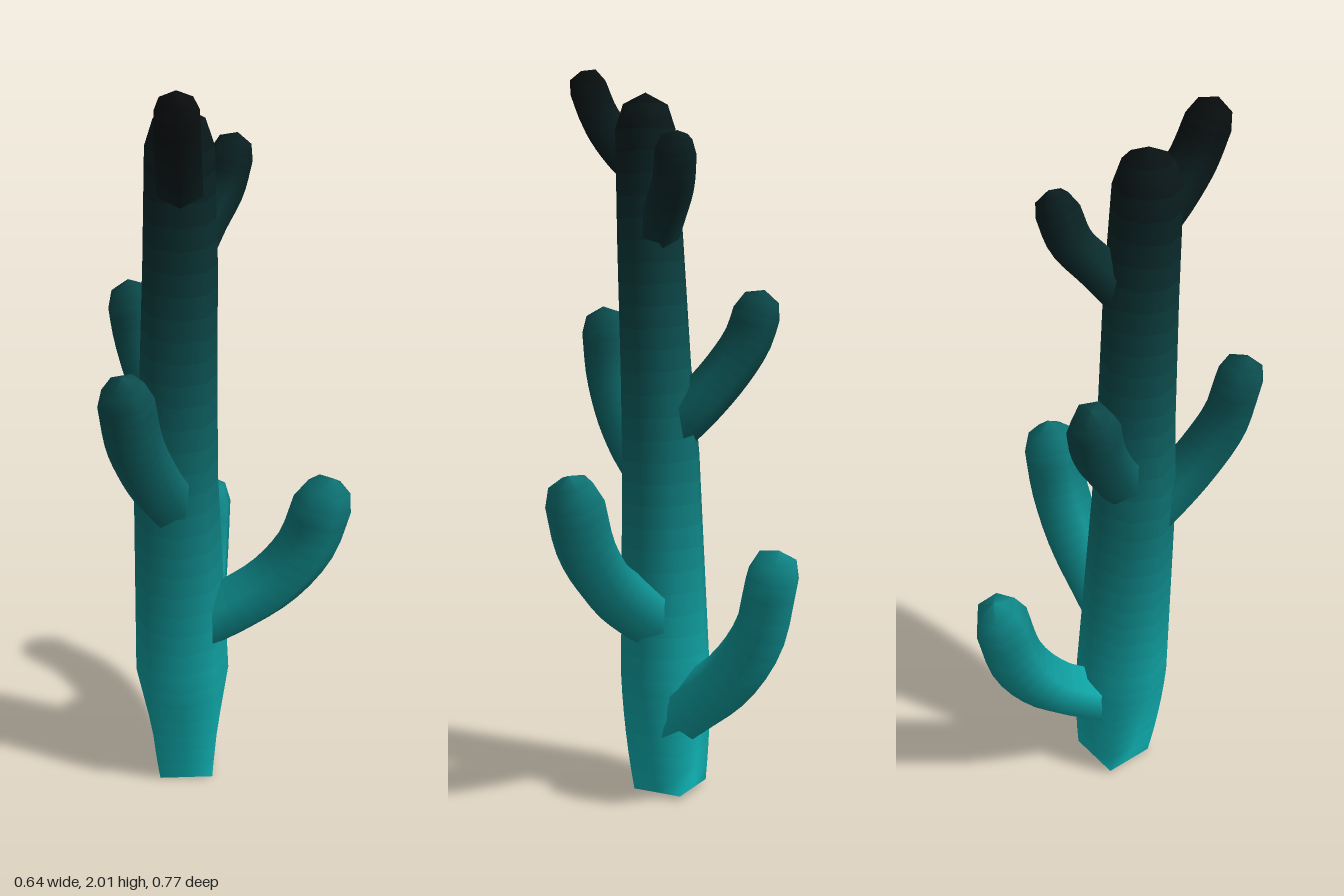
import * as THREE from 'three';

const UP = new THREE.Vector3(0, 1, 0);

// Teal at the ground fading to near black at the top
function colourAt(y) {
  const k = 1 - Math.pow(Math.min(Math.max(y / 2, 0), 1), 1.15);
  return new THREE.Color().setRGB(0.035 + 0.03 * k, 0.04 + 0.7 * k, 0.045 + 0.7 * k, THREE.SRGBColorSpace);
}

// Smooth stem through rings {p, r, square}; each row becomes one colour band
function stem(name, rings, sides, outward) {
  const group = new THREE.Group();
  group.name = name;
  const side = UP.clone().cross(outward).normalize();
  const pos = [];
  rings.forEach(({ p, r, square = 0 }, i) => {
    const t = rings[Math.min(i + 1, rings.length - 1)].p.clone().sub(rings[Math.max(i - 1, 0)].p).normalize();
    const n = side.clone().cross(t).normalize();
    const s = t.clone().cross(n);
    for (let j = 0; j < sides; j++) {
      const a = (j / sides) * Math.PI * 2;
      const rad = r * (1 + (j % 2) * square * (Math.SQRT2 - 1));
      const v = p.clone().addScaledVector(n, Math.cos(a) * rad).addScaledVector(s, Math.sin(a) * rad);
      pos.push(v.x, v.y, v.z);
    }
  });

  const rows = [];
  for (let i = 0; i < rings.length - 1; i++) {
    const row = [];
    for (let j = 0; j < sides; j++) {
      const a = i * sides + j, b = i * sides + ((j + 1) % sides);
      row.push(a, b, b + sides, a, b + sides, a + sides);
    }
    rows.push(row);
  }

  // Normals come from the whole stem so the bands meet smoothly
  const whole = new THREE.BufferGeometry();
  whole.setAttribute('position', new THREE.Float32BufferAttribute(pos, 3));
  whole.setIndex(rows.flat());
  whole.computeVertexNormals();
  rows.forEach((row, i) => {
    whole.setIndex(row);
    const y = (rings[i].p.y + rings[i + 1].p.y) / 2;
    const mesh = new THREE.Mesh(whole.toNonIndexed(), new THREE.MeshStandardMaterial({ color: colourAt(y) }));
    mesh.name = name + 'Band';
    group.add(mesh);
  });
  return group;
}

// Rounded tip: shrinking rings beyond the last one
function addTip(rings, dir, height) {
  const { p, r } = rings[rings.length - 1];
  for (const [h, k] of [[0.68, 0.74], [1, 0.001]]) {
    rings.push({ p: p.clone().addScaledVector(dir, h * height), r: r * k });
  }
}

function trunk() {
  // x, y, z, radius, squareness
  const levels = [
    [-0.125, 0, 0.03, 0.075, 1],
    [-0.132, 0.34, 0.05, 0.13, 0],
    [-0.14, 0.95, 0.07, 0.111, 0],
    [-0.13, 1.2, 0.08, 0.1, 0],
    [-0.12, 1.55, 0.092, 0.092, 0],
    [-0.117, 1.84, 0.105, 0.083, 0],
  ];
  const rings = [];
  levels.forEach((a, i) => {
    const b = levels[i + 1];
    const steps = b ? Math.round((b[1] - a[1]) / 0.06) : 1;
    for (let k = 0; k < steps; k++) {
      const [x, y, z, r, square] = a.map((v, m) => (b ? THREE.MathUtils.lerp(v, b[m], k / steps) : v));
      rings.push({ p: new THREE.Vector3(x, y, z), r, square });
    }
  });
  addTip(rings, UP, 0.095);
  return stem('trunk', rings, 8, new THREE.Vector3(1, 0, 0));
}

function branch(name, radius, points) {
  const curve = new THREE.CatmullRomCurve3(points.map((p) => new THREE.Vector3(...p)));
  const rings = curve.getSpacedPoints(12).map((p, i) => ({ p, r: radius * (1 - 0.08 * (i / 12)) }));
  addTip(rings, curve.getTangent(1), radius * 0.95);
  const outward = curve.getPoint(1).sub(curve.getPoint(0)).setY(0).normalize();
  return stem(name, rings, 6, outward);
}

export function createModel() {
  const model = new THREE.Group();
  model.name = 'branchingPlant';
  model.add(trunk());

  // Square underside of the trunk
  const base = new THREE.Mesh(
    new THREE.CircleGeometry(0.106, 4, Math.PI / 4).rotateX(Math.PI / 2).translate(-0.125, 0, 0.03),
    new THREE.MeshStandardMaterial({ color: colourAt(0) })
  );
  base.name = 'trunkBase';
  model.add(base);

  // Upward-curving arms, lowest first
  model.add(
    branch('lowBackArm', 0.085, [
      [-0.11, 0.2, 0.03], [-0.1, 0.27, -0.06], [-0.085, 0.37, -0.18], [-0.07, 0.51, -0.275], [-0.06, 0.675, -0.318]]),
    branch('lowLeftArm', 0.086, [
      [-0.09, 0.5, 0.065], [0, 0.555, 0.075], [0.12, 0.645, 0.085], [0.205, 0.76, 0.095], [0.245, 0.885, 0.1]]),
    branch('middleFrontArm', 0.075, [
      [-0.16, 0.91, 0.12], [-0.18, 0.97, 0.18], [-0.205, 1.05, 0.24], [-0.235, 1.16, 0.295], [-0.25, 1.28, 0.32]]),
    branch('middleBackArm', 0.071, [
      [-0.14, 1.02, 0.05], [-0.165, 1.09, -0.02], [-0.21, 1.19, -0.095], [-0.24, 1.28, -0.145], [-0.252, 1.35, -0.165]]),
    branch('upperBackArm', 0.06, [
      [-0.1, 1.56, 0.06], [-0.06, 1.63, 0.01], [-0.015, 1.7, -0.04], [0.008, 1.776, -0.06]]),
    branch('upperFrontArm', 0.064, [
      [-0.117, 1.74, 0.12], [-0.117, 1.795, 0.185], [-0.118, 1.865, 0.245], [-0.12, 1.945, 0.285]])
  );
  return model;
}
